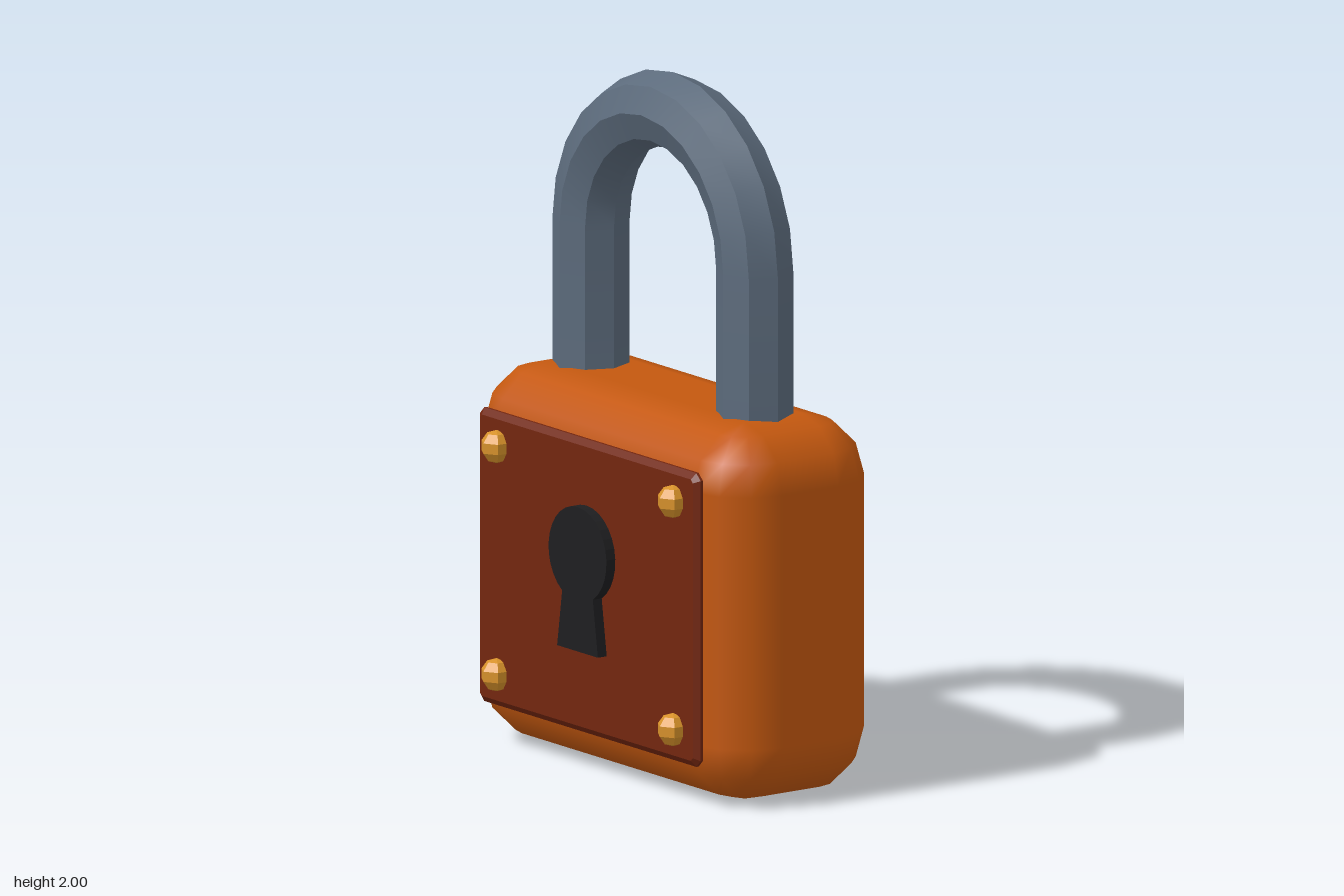
import * as THREE from 'three';
import { mergeGeometries, toCreasedNormals } from 'three/addons/utils/BufferGeometryUtils.js';

const paint = (color, flatShading = false) => new THREE.MeshStandardMaterial({ color, flatShading });

function addPart(group, name, geometry, material) {
  const mesh = new THREE.Mesh(geometry, material);
  mesh.name = name;
  group.add(mesh);
  return mesh;
}

// Box with rounded edges: a sphere of 30 degree steps whose octants are pushed apart
function roundedBox(w, h, d, r) {
  const geo = new THREE.CylinderGeometry(1, 1, 1, 16, 9, true);
  const pos = geo.attributes.position, nor = geo.attributes.normal;
  const dir = new THREE.Vector3();
  for (let i = 0; i < pos.count; i++) {
    const row = Math.floor(i / 17), col = (i % 17) % 16;
    const cap = row === 0 || row === 9;
    const ring = THREE.MathUtils.clamp(row, 1, 8) - 1;
    const lat = (90 - (ring < 4 ? ring : ring - 1) * 30) * Math.PI / 180;
    const quad = Math.floor(col / 4);
    const lon = (quad * 90 + (col % 4) * 30) * Math.PI / 180;
    const sx = quad < 2 ? 1 : -1, sz = quad === 0 || quad === 3 ? 1 : -1, sy = ring < 4 ? 1 : -1;
    dir.set(Math.cos(lat) * Math.sin(lon), Math.sin(lat), Math.cos(lat) * Math.cos(lon));
    const k = cap ? 0 : 1; // the end rows close the flat top and bottom
    pos.setXYZ(i,
      k * (sx * (w / 2 - r) + dir.x * r),
      sy * (h / 2 - r) + dir.y * r,
      k * (sz * (d / 2 - r) + dir.z * r));
    nor.setXYZ(i, dir.x, dir.y, dir.z);
  }
  return geo;
}

// Eight-sided U-shaped bar: half torus on two straight legs
function shackleGeometry(spread, r, bottom, archY) {
  const arch = new THREE.TorusGeometry(spread, r, 8, 12, Math.PI).translate(0, archY, 0);
  const legs = [-1, 1].map(s =>
    new THREE.CylinderGeometry(r, r, archY - bottom, 8, 1, false)
      .translate(s * spread, (archY + bottom) / 2, 0));
  return toCreasedNormals(mergeGeometries([arch, ...legs]), 0.5);
}

// Thin plate with clipped corners and a bevelled rim
function plateGeometry(w, h, thickness, bevel) {
  const x = w / 2, y = h / 2, c = 0.02;
  const shape = new THREE.Shape([
    [x - c, -y], [x, -y + c], [x, y - c], [x - c, y],
    [-x + c, y], [-x, y - c], [-x, -y + c], [-x + c, -y],
  ].map(p => new THREE.Vector2(...p)));
  return new THREE.ExtrudeGeometry(shape, {
    depth: thickness - 2 * 0.014, bevelThickness: 0.014,
    bevelSize: bevel, bevelOffset: -bevel, bevelSegments: 1,
  }).translate(0, 0, 0.014);
}

// Round hole above a flared slot, as a raised block
function keyholeGeometry(r, neck, foot, footY, depth) {
  const a = Math.asin(neck / r);
  const shape = new THREE.Shape();
  shape.moveTo(-foot, footY);
  shape.lineTo(foot, footY);
  shape.absarc(0, 0, r, -Math.PI / 2 + a, Math.PI * 1.5 - a, false);
  shape.closePath();
  return new THREE.ExtrudeGeometry(shape, { depth, bevelEnabled: false, curveSegments: 12 });
}

export function createModel() {
  const model = new THREE.Group();
  model.name = 'padlock';

  const body = addPart(model, 'body', roundedBox(1.3, 1.09, 0.555, 0.18), paint(0xc4580f));
  body.position.set(0, 0.545, -0.042);

  const shackle = addPart(model, 'shackle', shackleGeometry(0.39, 0.11, 1.04, 1.5), paint(0x5c6b7c));
  shackle.position.z = -0.038;

  const plate = addPart(model, 'frontPlate', plateGeometry(1.05, 0.85, 0.036, 0.018), paint(0x72260f, true));
  plate.position.set(0, 0.55, 0.228);

  const keyhole = addPart(model, 'keyhole', keyholeGeometry(0.138, 0.073, 0.097, -0.28, 0.045), paint(0x1e1e20));
  keyhole.position.set(0, 0.65, 0.25);

  // Faceted studs at the plate corners
  const studGeo = new THREE.SphereGeometry(0.048, 6, 5).rotateY(Math.PI / 2);
  const studMat = paint(0xd8922a, true);
  for (const x of [-0.42, 0.42]) {
    for (const y of [0.22, 0.88]) {
      addPart(model, 'stud', studGeo, studMat).position.set(x, y, 0.27);
    }
  }
  return model;
}
